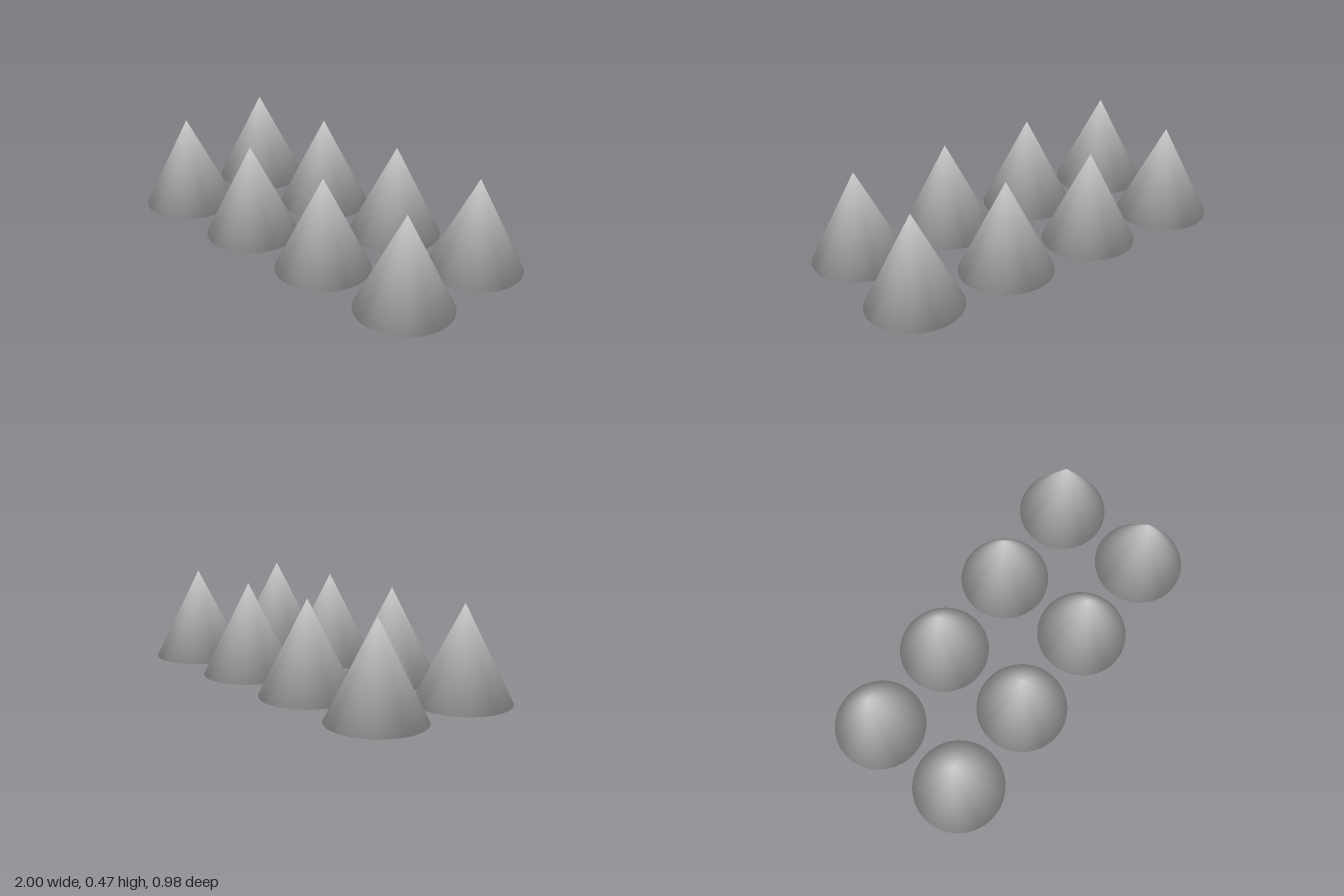
import * as THREE from 'three';

const RADIUS = 0.2326;
const HEIGHT = 2 * RADIUS;
const SPACING = 2.2 * RADIUS;

// Cone standing on y = 0, shaded smoothly across the tip and the base rim
function coneGeometry() {
  const geometry = new THREE.ConeGeometry(RADIUS, HEIGHT, 64);
  geometry.translate(0, HEIGHT / 2, 0);
  const { position, normal } = geometry.attributes;
  for (let i = 0; i < position.count; i++) {
    if (position.getY(i) > HEIGHT / 2) {
      normal.setXYZ(i, 0, 1, 0);
    } else {
      // Rim normals lie halfway between flank and base
      normal.setXYZ(i, 0.85 * position.getX(i) / RADIUS, -0.526, 0.85 * position.getZ(i) / RADIUS);
    }
  }
  return geometry;
}

export function createModel() {
  const model = new THREE.Group();
  model.name = 'coneGrid';
  const geometry = coneGeometry();
  const material = new THREE.MeshStandardMaterial({ color: 0xcccccc });

  // Two rows of four cones
  for (let row = 0; row < 2; row++) {
    for (let column = 0; column < 4; column++) {
      const cone = new THREE.Mesh(geometry, material);
      cone.name = `coneRow${row + 1}Column${column + 1}`;
      cone.position.set((column - 1.5) * SPACING, 0, (row - 0.5) * SPACING);
      model.add(cone);
    }
  }
  return model;
}
